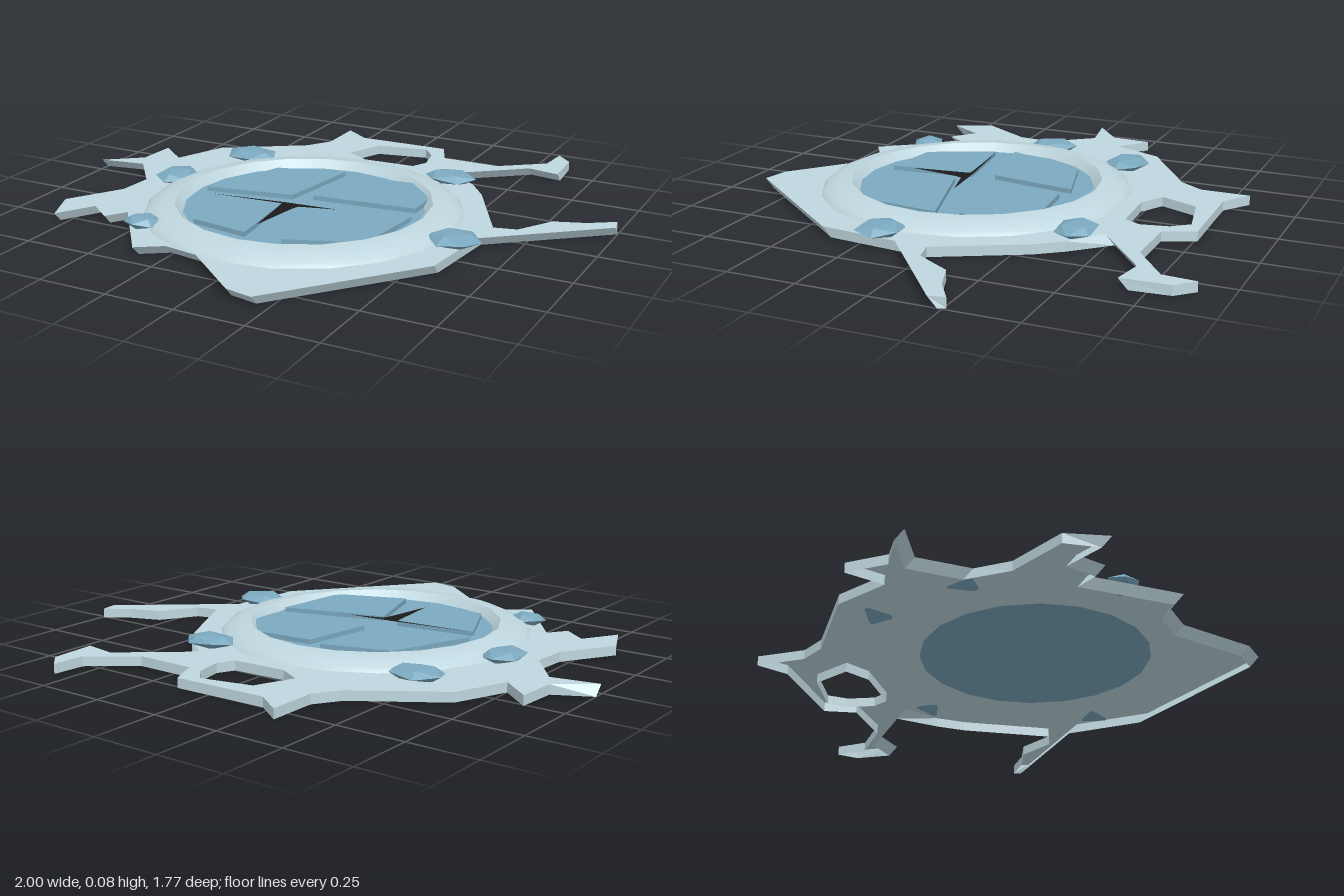
import * as THREE from 'three';

const paleIce = new THREE.MeshStandardMaterial({ color: 0xbfd7df, side: THREE.DoubleSide });
paleIce.name = 'paleIce';
const paleIceFlat = paleIce; // walls use split vertices, so they shade flat
const deepIce = new THREE.MeshStandardMaterial({ color: 0x7ba9c0 });
deepIce.name = 'deepIce';
const black = new THREE.MeshStandardMaterial({ color: 0x1a1a1a, side: THREE.DoubleSide });
black.name = 'black';

const SLAB = 0.035, CX = -0.03, CZ = 0.12;

// Ragged outline of the frozen sheet, as [x, z]
const outline = [
  [-0.32, -0.82], [-0.22, -0.75], [0.13, -0.76], [0.18, -0.65], [0.40, -0.65], [0.56, -0.77],
  [0.57, -0.89], [0.63, -0.83], [0.64, -0.66], [0.52, -0.68], [0.28, -0.49], [0.40, -0.40],
  [0.47, -0.31], [0.63, -0.01], [0.71, -0.03], [0.79, -0.16], [0.90, -0.20], [0.99, -0.26],
  [1.00, -0.20], [0.62, 0.11], [0.59, 0.40], [0.20, 0.88], [0.10, 0.86], [-0.13, 0.67],
  [-0.26, 0.65], [-0.35, 0.71], [-0.56, 0.44], [-0.61, 0.51], [-0.70, 0.44], [-0.78, 0.57],
  [-0.84, 0.43], [-0.72, 0.24], [-0.71, 0.11], [-0.83, -0.04], [-1.00, -0.01], [-0.87, -0.11],
  [-0.86, -0.26], [-0.75, -0.17], [-0.67, -0.36], [-0.38, -0.55], [-0.32, -0.64],
];
const opening = [
  [-0.12, -0.68], [0.07, -0.72], [0.12, -0.66], [0.14, -0.56], [0.11, -0.50], [-0.09, -0.49], [-0.18, -0.54],
];

const toPoints = (list) => list.map(([x, z]) => new THREE.Vector2(x, -z));

function add(parent, name, geometry, material) {
  const mesh = new THREE.Mesh(geometry, material);
  mesh.name = name;
  parent.add(mesh);
  return mesh;
}

// Flat plate lying in the ground plane, optionally thick
function plate(list, y, depth = 0, hole = null) {
  const shape = new THREE.Shape(toPoints(list));
  if (hole) shape.holes.push(new THREE.Path(toPoints(hole)));
  const g = depth
    ? new THREE.ExtrudeGeometry(shape, { depth, bevelEnabled: false })
    : new THREE.ShapeGeometry(shape);
  return g.rotateX(-Math.PI / 2).translate(0, y, 0);
}

// Wall below an outline; front-facing corners are undercut
function wall(list, undercut, inward = false) {
  const n = list.length, pos = [];
  const low = list.map(([x, z], i) => {
    const front = list[(i + 1) % n][0] < list[(i + n - 1) % n][0];
    return [x, 0, front ? z - undercut : z];
  });
  const top = list.map(([x, z]) => [x, SLAB, z]);
  for (let i = 0; i < n; i++) {
    const j = (i + 1) % n;
    const [a, b] = inward ? [j, i] : [i, j];
    pos.push(...low[a], ...top[a], ...top[b], ...low[a], ...top[b], ...low[b]);
  }
  const g = new THREE.BufferGeometry();
  g.setAttribute('position', new THREE.Float32BufferAttribute(pos, 3));
  g.computeVertexNormals();
  return g;
}

export function createModel() {
  const model = new THREE.Group();
  model.name = 'frozenHatch';

  // Hollow sheet, open underneath
  const sheet = new THREE.Group();
  sheet.name = 'iceSheet';
  model.add(sheet);
  add(sheet, 'sheetTop', plate(outline, SLAB, 0, opening), paleIceFlat);
  add(sheet, 'sheetEdge', wall(outline, 0.033), paleIceFlat);
  add(sheet, 'openingEdge', wall(opening, 0, true), paleIceFlat);

  // Raised rim: rounded outside, creased at the inner lip
  const rim = new THREE.Group();
  rim.name = 'rim';
  rim.position.set(CX, 0, CZ);
  model.add(rim);
  const profiles = {
    rimOuter: [[0.565, 0.035], [0.55, 0.052], [0.505, 0.07], [0.455, 0.075]],
    rimInner: [[0.455, 0.075], [0.425, 0.043]],
  };
  for (const [name, profile] of Object.entries(profiles)) {
    add(rim, name, new THREE.LatheGeometry(profile.map(([r, y]) => new THREE.Vector2(r, y)), 20), paleIce);
  }

  // Sunken disc
  const disc = add(model, 'disc', new THREE.CylinderGeometry(0.43, 0.41, 0.011, 20), deepIce);
  disc.position.set(CX, 0.0395, CZ);

  // Four raised panels
  const panels = [
    [[-0.05, -0.24], [-0.10, 0.08], [-0.42, 0.14], [-0.30, -0.17]],
    [[0.01, -0.22], [0.23, -0.24], [0.35, -0.11], [0.35, 0.01], [-0.03, 0.05]],
    [[0.37, 0.09], [0.34, 0.38], [0.08, 0.48], [-0.01, 0.20]],
    [[-0.39, 0.21], [-0.09, 0.17], [-0.06, 0.48], [-0.28, 0.45]],
  ];
  panels.forEach((p, i) => add(model, 'panel' + (i + 1), plate(p, 0.044, 0.018), deepIce));

  // Dark crack in the gap between panels
  const crack = [
    [-0.37, 0.20], [-0.08, 0.16], [0.11, 0.145], [-0.02, 0.18], [-0.03, 0.21], [-0.06, 0.40], [-0.085, 0.20], [-0.09, 0.175],
  ];
  add(model, 'crack', plate(crack, 0.0625), black);

  // Faceted chunks around the rim: x, z, half width, half depth, turn
  const chunks = [
    [-0.49, -0.30, 0.10, 0.075, 0.3], [-0.61, 0.05, 0.07, 0.09, 1.1], [-0.435, 0.525, 0.065, 0.055, 2.0],
    [0.57, 0.19, 0.09, 0.08, 0.7], [0.31, -0.40, 0.095, 0.068, 1.6],
  ];
  chunks.forEach(([x, z, w, d, turn], i) => {
    const g = new THREE.IcosahedronGeometry(1.08, 0).rotateX(0.4).rotateY(turn);
    g.scale(w, 0.022, d);
    g.computeVertexNormals();
    add(model, 'iceChunk' + (i + 1), g, deepIce).position.set(x, 0.052, z);
  });

  return model;
}
